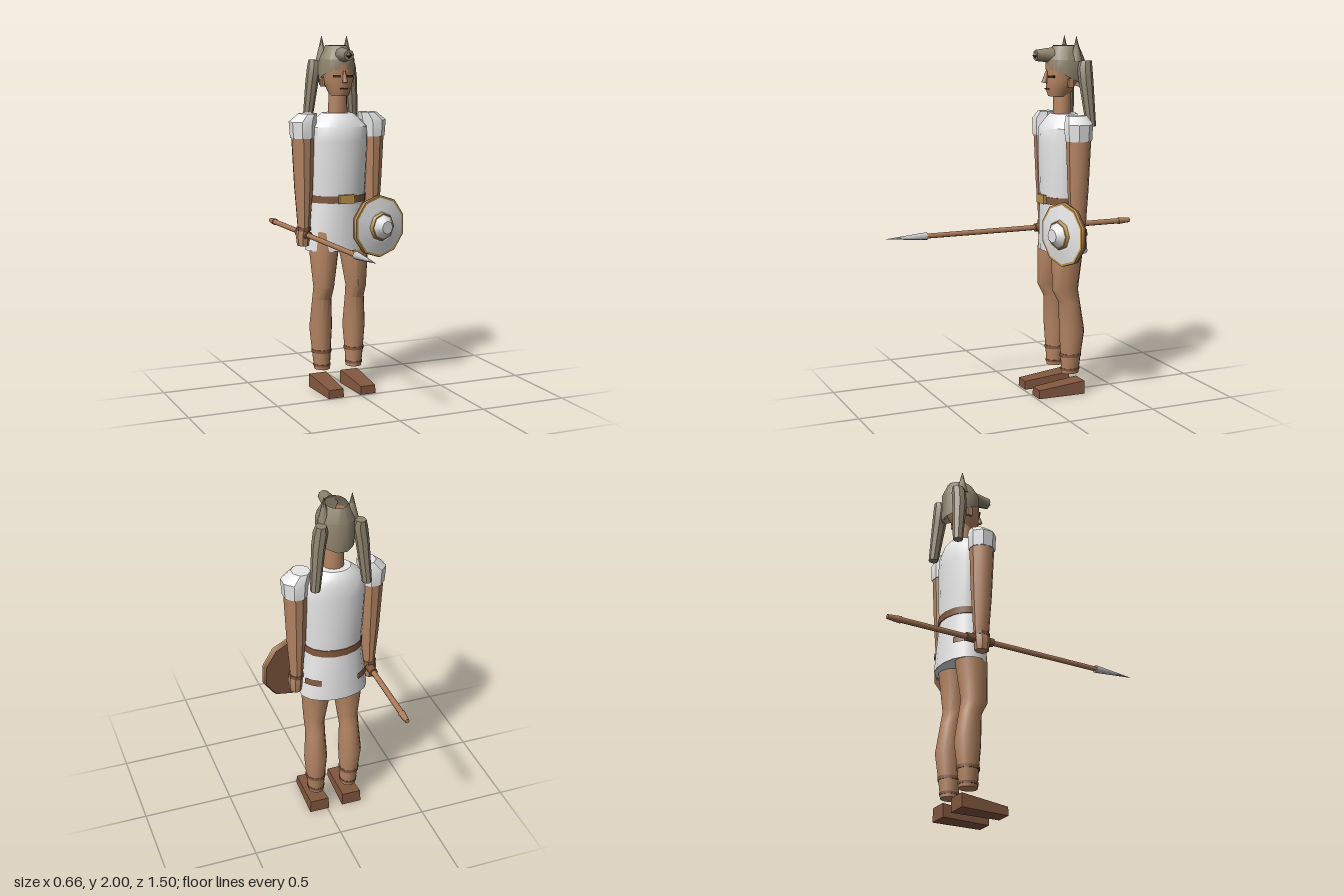
import * as THREE from 'three';
import { toCreasedNormals } from 'three/addons/utils/BufferGeometryUtils.js';

const mat = (name, color, side = THREE.FrontSide) => {
  const m = new THREE.MeshStandardMaterial({ color, side });
  m.name = name;
  return m;
};

// Elliptical rings [y, cx, cz, rx, rz, tilt], listed from the bottom up
function loft(rings, n, capBottom = true, capTop = true) {
  const pos = [], idx = [];
  for (const [y, cx, cz, rx, rz, tilt = 0] of rings) {
    for (let i = 0; i < n; i++) {
      const a = ((i + 0.5) / n) * Math.PI * 2;
      pos.push(cx + rx * Math.sin(a), y + tilt * Math.cos(a), cz + rz * Math.cos(a));
    }
  }
  for (let r = 0; r < rings.length - 1; r++) {
    for (let i = 0; i < n; i++) {
      const j = (i + 1) % n, a = r * n + i, b = r * n + j;
      idx.push(a, b, b + n, a, b + n, a + n);
    }
  }
  const top = (rings.length - 1) * n;
  for (let i = 1; i < n - 1; i++) {
    if (capBottom) idx.push(0, i + 1, i);
    if (capTop) idx.push(top, top + i, top + i + 1);
  }
  const g = new THREE.BufferGeometry();
  g.setAttribute('position', new THREE.Float32BufferAttribute(pos, 3));
  g.setIndex(idx);
  return toCreasedNormals(g, 0.65);
}

// Cylinder lying along z, with its front end at +z
const rod = (rFront, rBack, len, n) =>
  new THREE.CylinderGeometry(rFront, rBack, len, n).rotateX(Math.PI / 2);

export function createModel() {
  const skin = mat('skin', 0xb58563, THREE.DoubleSide);
  const cloth = mat('white cloth', 0xe8e8e8);
  const pelt = mat('pelt', 0x8e836e, THREE.DoubleSide);
  const leather = mat('leather', 0x83583f, THREE.DoubleSide);
  const gold = mat('gold', 0xbd9550);
  const dark = mat('dark', 0x35261d);
  const wood = mat('wood', 0xad7c59);
  const steel = mat('steel', 0xc4c6c8);

  const model = new THREE.Group();
  const body = new THREE.Group();
  body.name = 'warrior';
  body.position.set(-0.05, 0, -0.21);
  model.add(body);

  const add = (name, geo, material, x = 0, y = 0, z = 0, parent = body) => {
    const m = new THREE.Mesh(geo, material);
    m.name = name;
    m.position.set(x, y, z);
    parent.add(m);
    return m;
  };

  // Tunic, belt and buckle
  add('tunicTop', loft([
    [1.07, 0, 0, 0.155, 0.114], [1.25, 0, 0, 0.165, 0.12], [1.42, 0, 0, 0.175, 0.12],
    [1.5, 0, 0, 0.172, 0.115], [1.55, 0, -0.01, 0.12, 0.09], [1.575, 0, -0.01, 0.088, 0.07],
  ], 16), cloth);
  add('skirt', loft([[0.81, 0, -0.01, 0.19, 0.122], [1.1, 0, 0, 0.155, 0.114]], 16, false), cloth);
  add('skirtUnderside', loft([[0.82, 0, -0.01, 0.186, 0.119], [0.83, 0, -0.01, 0.185, 0.118]], 16), cloth);
  add('belt', loft([[1.08, 0, 0, 0.161, 0.12], [1.12, 0, 0, 0.161, 0.12]], 16), leather);
  add('buckle', new THREE.BoxGeometry(0.09, 0.048, 0.02), gold, 0, 1.104, 0.122);

  // Neck, head and face
  add('neck', loft([[1.55, 0, 0, 0.055, 0.05], [1.7, 0, 0, 0.052, 0.048]], 12, false, false), skin);
  add('head', loft([
    [1.67, 0, 0.02, 0.052, 0.06], [1.7, 0, 0.015, 0.063, 0.075],
    [1.76, 0, 0, 0.086, 0.092], [1.87, 0, 0, 0.088, 0.09],
  ], 14, false, false), skin);
  const nose = new THREE.CylinderGeometry(0.007, 0.016, 0.065, 4).rotateY(Math.PI / 4);
  add('nose', nose, skin, 0, 1.775, 0.1).rotation.x = -0.25;
  add('mouth', new THREE.BoxGeometry(0.045, 0.006, 0.008), dark, 0, 1.71, 0.091);

  // Animal hood with its snout
  add('hood', loft([
    [1.765, 0, -0.018, 0.1, 0.11, 0.055], [1.87, 0, -0.018, 0.101, 0.11],
    [1.945, 0, -0.022, 0.058, 0.075],
  ], 12, false, false), pelt);
  add('snout', toCreasedNormals(rod(0.03, 0.042, 0.1, 8), 0.9), pelt, 0, 1.893, 0.11);
  add('snoutNose', new THREE.OctahedronGeometry(0.019), dark, 0, 1.893, 0.16);

  // Foot block, low and narrow at the toe
  const foot = new THREE.BoxGeometry(0.114, 0.075, 0.275).translate(0, 0.0375, 0);
  const p = foot.attributes.position;
  for (let i = 0; i < p.count; i++) {
    const isTop = p.getY(i) > 0.01, toe = p.getZ(i) > 0;
    if (isTop && toe) p.setY(i, 0.048);
    p.setX(i, p.getX(i) * (toe ? 0.8 : 1) * (isTop ? 0.94 : 1));
  }
  foot.computeVertexNormals();

  for (const s of [-1, 1]) {
    const side = s > 0 ? 'left' : 'right';
    // Legs, sandals and ankle straps
    add(side + 'Leg', loft([
      [0.12, s * 0.097, -0.01, 0.045, 0.051], [0.2, s * 0.1, -0.012, 0.051, 0.056],
      [0.36, s * 0.102, -0.018, 0.064, 0.073], [0.53, s * 0.1, -0.002, 0.054, 0.062],
      [0.6, s * 0.098, 0.022, 0.057, 0.075], [0.81, s * 0.09, 0.008, 0.083, 0.09],
      [0.92, s * 0.085, 0, 0.083, 0.09],
    ], 12), skin);
    add(side + 'Shoe', foot, leather, s * 0.097, 0, 0.062);
    add(side + 'UpperStrap', loft([
      [0.217, s * 0.1, -0.012, 0.057, 0.062], [0.235, s * 0.1, -0.012, 0.057, 0.062]], 12), leather);
    add(side + 'LowerStrap', loft([
      [0.137, s * 0.098, -0.01, 0.049, 0.055], [0.15, s * 0.098, -0.01, 0.05, 0.056]], 12), leather);

    // Sleeves, arms, hands and wrist bands
    add(side + 'Sleeve', loft([
      [1.44, s * 0.21, 0, 0.069, 0.074], [1.53, s * 0.21, 0, 0.076, 0.078],
      [1.575, s * 0.18, 0, 0.05, 0.058],
    ], 8), cloth);
    add(side + 'Arm', loft([
      [0.94, s * 0.207, 0, 0.034, 0.043], [1.05, s * 0.207, 0, 0.043, 0.05],
      [1.17, s * 0.207, 0, 0.053, 0.058], [1.46, s * 0.21, 0, 0.065, 0.07],
    ], 10), skin);
    add(side + 'Hand', loft([
      [0.84, s * 0.213, 0, 0.032, 0.038], [0.9, s * 0.213, 0, 0.039, 0.046],
      [0.95, s * 0.208, 0, 0.033, 0.042],
    ], 8), skin);
    add(side + 'WristBand', loft([
      [0.925, s * 0.208, 0, 0.04, 0.047], [0.945, s * 0.208, 0, 0.04, 0.047]], 8), leather);

    // Leather patch at the back of each hip
    const start = s > 0 ? 1.9 : Math.PI * 2 - 2.55;
    add(side + 'HipPatch', new THREE.CylinderGeometry(1, 1.03, 0.035, 6, 1, true, start, 0.65)
      .scale(0.181, 1, 0.124), leather, 0, 0.92, -0.006);

    // Face sides
    add(side + 'Eye', new THREE.BoxGeometry(0.042, 0.013, 0.009), dark, s * 0.038, 1.778, 0.081)
      .rotation.y = s * 0.35;
    add(side + 'Ear', new THREE.BoxGeometry(0.016, 0.05, 0.03), skin, s * 0.088, 1.745, -0.01);

    // Hood ears and hanging paws
    add(side + 'HoodEar', toCreasedNormals(new THREE.ConeGeometry(0.034, 0.14, 7), 0.9),
      pelt, s * 0.075, 1.93, -0.05);
    add(side + 'HangingPaw', loft([
      [1.51, s * 0.14, -0.11, 0.026, 0.028], [1.75, s * 0.117, -0.09, 0.036, 0.041],
      [1.83, s * 0.105, -0.088, 0.038, 0.041], [1.865, s * 0.105, -0.093, 0.028, 0.034],
    ], 8), pelt);
  }

  // Spear held level in the right hand
  const spear = new THREE.Group();
  spear.name = 'spear';
  spear.position.set(-0.255, 0.905, 0);
  model.add(spear);
  add('spearShaft', rod(0.014, 0.016, 1.24, 8), wood, 0, 0, -0.1, spear);
  add('spearButt', rod(0.02, 0.013, 0.075, 8), wood, 0, 0, -0.7175, spear);
  add('spearHead', rod(0.001, 0.022, 0.235, 8), steel, 0, 0, 0.6325, spear);
  add('spearGrip', rod(0.024, 0.024, 0.16, 8), leather, 0, 0, -0.22, spear);

  // Ten-sided shield turned slightly outward
  const shield = new THREE.Group();
  shield.name = 'shield';
  shield.position.set(0.162, 0.935, -0.118);
  shield.rotation.y = 0.24;
  model.add(shield);
  add('shieldBack', rod(0.178, 0.172, 0.022, 10), leather, 0, 0, -0.013, shield);
  add('shieldRim', rod(0.176, 0.178, 0.012, 10), gold, 0, 0, 0.004, shield);
  add('shieldFace', rod(0.09, 0.169, 0.014, 10), cloth, 0, 0, 0.016, shield);
  add('bossRing', rod(0.076, 0.085, 0.022, 8), gold, 0, 0, 0.03, shield);
  add('boss', rod(0.037, 0.07, 0.036, 8), cloth, 0, 0, 0.059, shield);

  return model;
}
